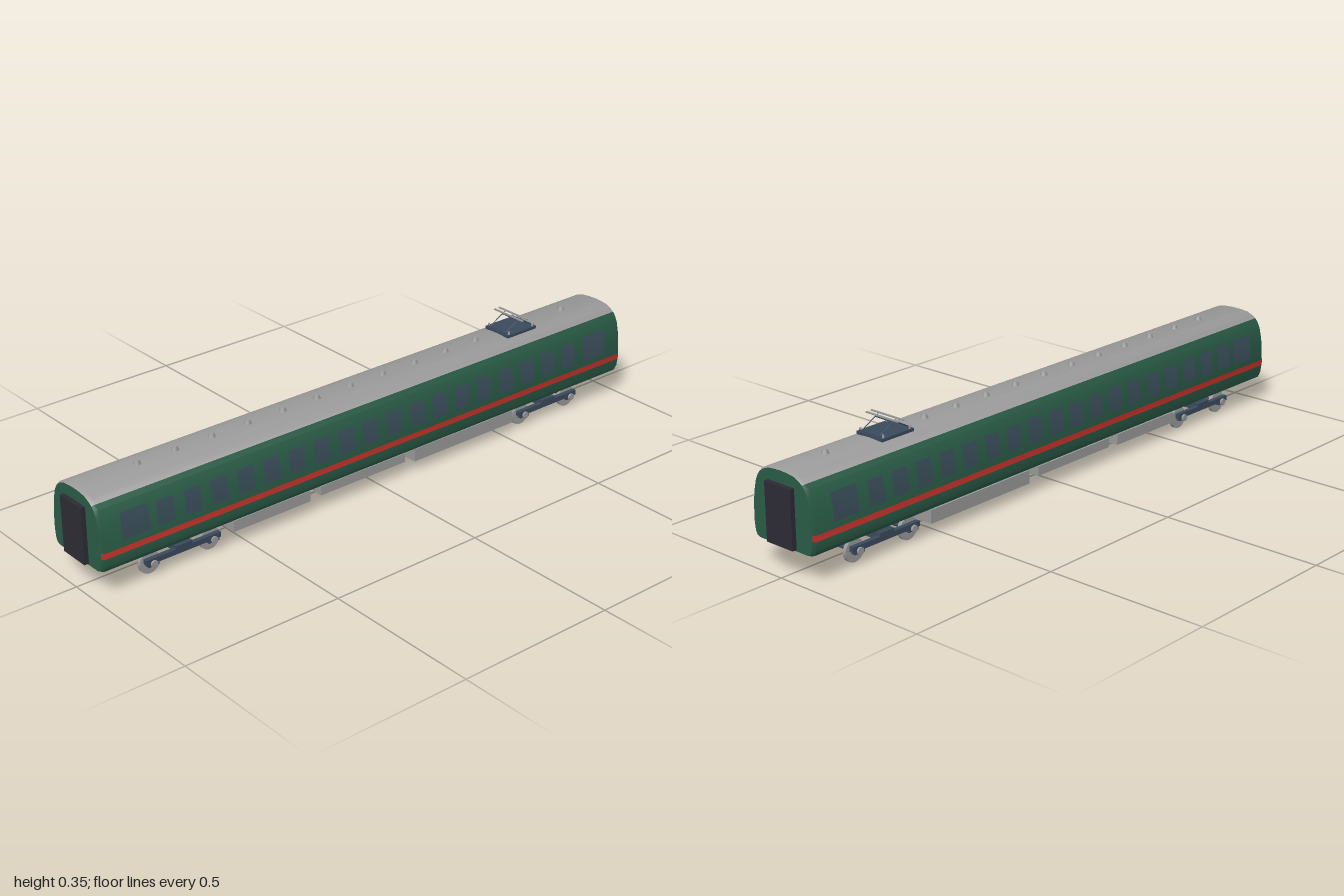
import * as THREE from 'three';
import { toCreasedNormals } from 'three/addons/utils/BufferGeometryUtils.js';

const mat = (name, color, side = THREE.FrontSide) => {
  const m = new THREE.MeshStandardMaterial({ color, side });
  m.name = name;
  return m;
};

// Half cross-section of the car body, from the floor up to the ridge
const FLOOR = [[0, 0.081], [0.095, 0.082]];
const SIDE = [[0.095, 0.082], [0.107, 0.086], [0.113, 0.098], [0.1165, 0.125], [0.1165, 0.15],
  [0.1145, 0.19], [0.110, 0.22], [0.103, 0.25], [0.095, 0.267], [0.085, 0.28]];
const ROOF = [[0.085, 0.28], [0.07, 0.29], [0.05, 0.298], [0.025, 0.301], [0, 0.302]];
const mirror = (pts) => pts.map(([x, y]) => [-x, y]).reverse();

// The ends are slightly chamfered: [z, scale of the section]
const STATIONS = [[-0.986, 0.965], [-0.976, 1], [0.976, 1], [0.986, 0.965]];
const inset = ([x, y], s) => [x * s, 0.19 + (y - 0.19) * s];

// Sweeps a counter-clockwise outline along z
function loft(pts, stations) {
  const pos = [];
  for (let j = 0; j < stations.length - 1; j++) {
    const [z0, s0] = stations[j], [z1, s1] = stations[j + 1];
    for (let i = 0; i < pts.length - 1; i++) {
      const a = [...inset(pts[i], s0), z0], b = [...inset(pts[i + 1], s0), z0];
      const c = [...inset(pts[i + 1], s1), z1], d = [...inset(pts[i], s1), z1];
      pos.push(...a, ...b, ...c, ...a, ...c, ...d);
    }
  }
  const g = new THREE.BufferGeometry();
  g.setAttribute('position', new THREE.Float32BufferAttribute(pos, 3));
  return toCreasedNormals(g, 0.45);
}

// Part of the side wall between two heights, lifted off the surface
function wallStrip(y0, y1, lift) {
  const at = (y) => {
    const i = SIDE.findIndex((p) => p[1] >= y);
    const [xa, ya] = SIDE[i - 1], [xb, yb] = SIDE[i];
    return xa + (xb - xa) * (y - ya) / (yb - ya);
  };
  const ys = [y0, ...SIDE.map((p) => p[1]).filter((y) => y > y0 && y < y1), y1];
  return ys.map((y) => [at(y) + lift, y]);
}

export function createModel() {
  const model = new THREE.Group();
  model.name = 'railCar';
  const green = mat('body green', 0x2a5c47);
  const grey = mat('grey', 0x9a9a9a);
  const red = mat('stripe red', 0xc8342b);
  const glass = mat('window glass', 0x3a4e5a);
  const dark = mat('gangway black', 0x2d2c35);
  const steel = mat('frame blue grey', 0x3a4a5c);

  const add = (parent, name, geo, material, x = 0, y = 0, z = 0) => {
    const m = new THREE.Mesh(geo, material);
    m.name = name;
    m.position.set(x, y, z);
    parent.add(m);
    return m;
  };
  const box = (parent, name, material, w, h, d, x, y, z) =>
    add(parent, name, new THREE.BoxGeometry(w, h, d), material, x, y, z);
  const rod = (parent, name, material, a, b, r) => {
    const curve = new THREE.LineCurve3(new THREE.Vector3(...a), new THREE.Vector3(...b));
    return add(parent, name, new THREE.TubeGeometry(curve, 1, r, 6), material);
  };
  const bothSides = (name, pts, stations, material) => {
    add(model, name + 'Left', loft(pts, stations), material);
    add(model, name + 'Right', loft(mirror(pts), stations), material);
  };

  // Body shell
  bothSides('sideWall', SIDE, STATIONS, green);
  add(model, 'roof', loft([...ROOF, ...mirror(ROOF).slice(1)], STATIONS), grey);
  add(model, 'floor', loft([...mirror(FLOOR), FLOOR[1]], STATIONS), grey);
  const half = [...SIDE, ...ROOF.slice(1)];
  const outline = [...half, ...mirror(half).slice(1)].map((p) => new THREE.Vector2(...inset(p, 0.965)));
  const endShape = new THREE.ShapeGeometry(new THREE.Shape(outline));
  add(model, 'frontEnd', endShape, green, 0, 0, 0.986);
  add(model, 'backEnd', endShape, green, 0, 0, -0.986).rotation.y = Math.PI;
  for (const s of [1, -1]) box(model, 'gangway', dark, 0.1, 0.172, 0.03, 0, 0.176, s * 0.985);

  // Stripe and windows follow the wall curve
  bothSides('stripe', wallStrip(0.128, 0.146, 0.001), STATIONS, red);
  const pane = wallStrip(0.167, 0.238, 0.001);
  const span = (z, w) => [[z - w / 2, 1], [z + w / 2, 1]];
  for (let i = 0; i < 18; i++) bothSides('window', pane, span(0.775 - i * 0.09, 0.056), glass);
  for (const z of [0.873, -0.868]) bothSides('endWindow', wallStrip(0.165, 0.243, 0.001), span(z, 0.09), glass);

  // Roof ventilators
  const vent = new THREE.CylinderGeometry(0.007, 0.012, 0.013, 12);
  for (let i = 0; i < 11; i++) add(model, 'roofVent', vent, grey, 0, 0.3065, 0.785 - i * 0.1245);
  add(model, 'roofVent', vent, grey, 0, 0.3065, -0.83);

  // Underfloor equipment: [front z, back z, bottom y]
  for (const [z0, z1, y] of [[0.54, 0.267, 0.042], [0.227, -0.093, 0.047], [-0.133, -0.537, 0.035]]) {
    box(model, 'equipmentBox', grey, 0.192, 0.076 - y, z0 - z1, 0, (0.076 + y) / 2, (z0 + z1) / 2);
  }

  // Bogies
  const wheel = new THREE.CylinderGeometry(0.034, 0.034, 0.011, 24).rotateZ(Math.PI / 2);
  const axle = new THREE.CylinderGeometry(0.007, 0.007, 0.17, 10).rotateZ(Math.PI / 2);
  const cap = new THREE.CylinderGeometry(0.011, 0.011, 0.008, 12).rotateZ(Math.PI / 2);
  for (const zc of [0.705, -0.699]) {
    const bogie = new THREE.Group();
    bogie.name = zc > 0 ? 'frontBogie' : 'backBogie';
    bogie.position.z = zc;
    model.add(bogie);
    box(bogie, 'bolster', steel, 0.156, 0.024, 0.05, 0, 0.054, 0);
    box(bogie, 'centrePivot', steel, 0.05, 0.02, 0.04, 0, 0.073, 0);
    for (const s of [1, -1]) {
      box(bogie, 'sideFrame', steel, 0.014, 0.016, 0.25, s * 0.082, 0.047, 0);
      box(bogie, 'spring', steel, 0.016, 0.01, 0.055, s * 0.082, 0.06, 0);
      add(bogie, 'axle', axle, steel, 0, 0.034, s * 0.101);
      for (const t of [1, -1]) {
        add(bogie, 'wheel', wheel, grey, t * 0.064, 0.034, s * 0.101);
        box(bogie, 'axleBox', steel, 0.014, 0.024, 0.036, t * 0.082, 0.043, s * 0.101);
        add(bogie, 'axleCap', cap, grey, t * 0.091, 0.039, s * 0.101);
      }
    }
  }

  // Pantograph
  const panto = new THREE.Group();
  panto.name = 'pantograph';
  panto.position.z = -0.61;
  model.add(panto);
  box(panto, 'base', steel, 0.1, 0.009, 0.12, 0, 0.304, 0);
  for (const s of [1, -1]) {
    for (const t of [1, -1]) {
      add(panto, 'insulator', new THREE.CylinderGeometry(0.003, 0.004, 0.01, 8), grey, t * 0.044, 0.312, s * 0.05);
      rod(panto, 'arm', steel, [t * 0.034, 0.311, s * 0.055], [t * 0.034, 0.339, s * 0.004], 0.0015);
      rod(panto, 'headSupport', steel, [t * 0.034, 0.339, 0], [t * 0.034, 0.346, s * 0.01], 0.001);
    }
    rod(panto, 'armCrossBar', steel, [-0.034, 0.339, s * 0.004], [0.034, 0.339, s * 0.004], 0.0015);
    rod(panto, 'footBar', steel, [-0.044, 0.311, s * 0.055], [0.044, 0.311, s * 0.055], 0.0015);
    box(panto, 'contactStrip', grey, 0.125, 0.004, 0.005, 0, 0.347, s * 0.01);
  }
  return model;
}
